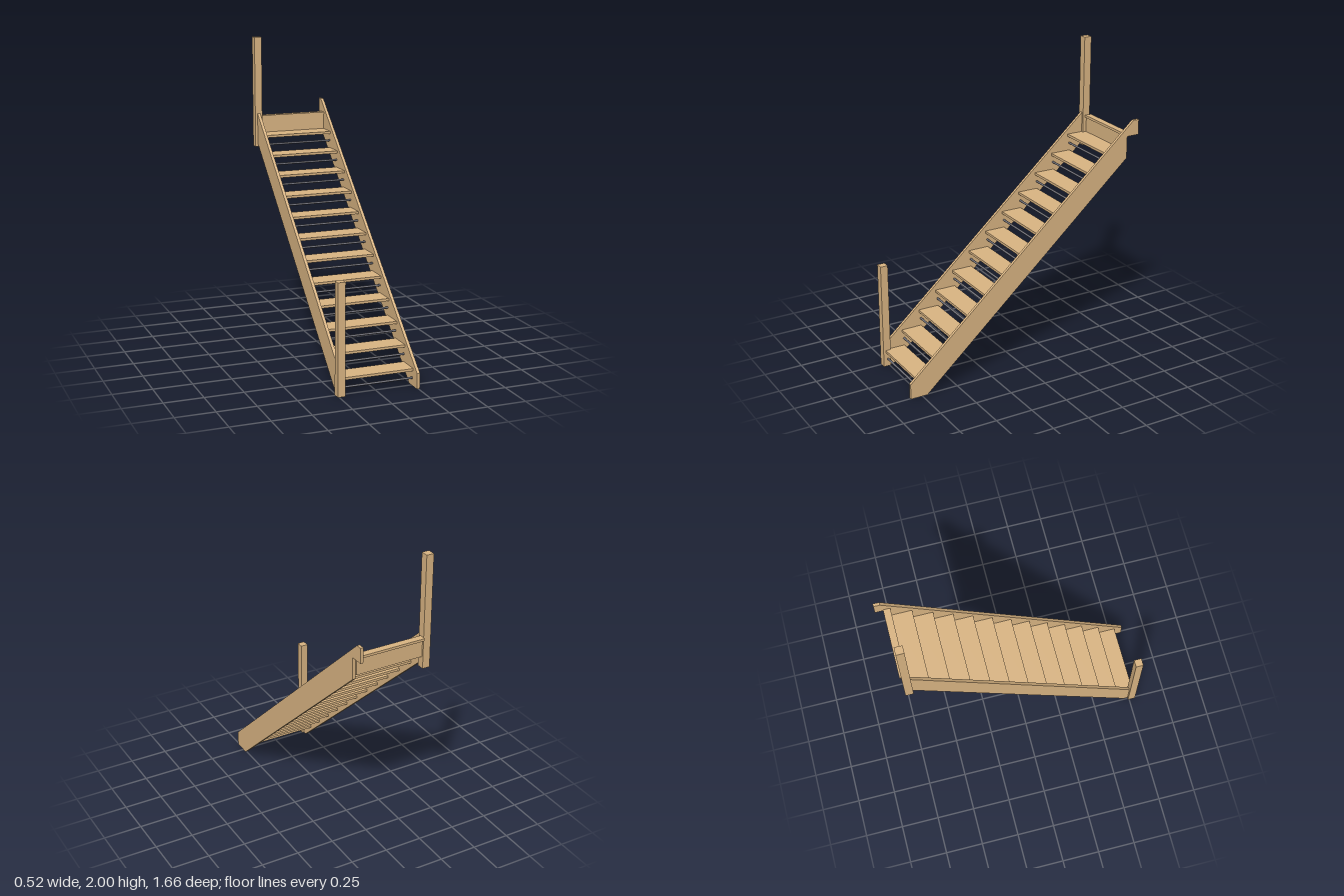
import * as THREE from 'three';

const wood = new THREE.MeshStandardMaterial({ name: 'oak wood', color: 0xdab583 });
const metal = new THREE.MeshStandardMaterial({ name: 'grey metal', color: 0x707078 });

const RISE = 0.1129, GOING = 0.1254, STEPS = 12;
const INNER_LEFT = -0.225, INNER_RIGHT = 0.239;

export function createModel() {
  const model = new THREE.Group();
  model.name = 'openStaircase';

  const add = (name, geometry, material) => {
    const mesh = new THREE.Mesh(geometry, material);
    mesh.name = name;
    model.add(mesh);
    return mesh;
  };

  // Box given by its limits on each axis
  const box = (name, x0, x1, y0, y1, z0, z1) =>
    add(name, new THREE.BoxGeometry(x1 - x0, y1 - y0, z1 - z0), wood)
      .position.set((x0 + x1) / 2, (y0 + y1) / 2, (z0 + z1) / 2);

  // Sloping side board from a side profile of [z, y] points
  const stringer = (name, x0, x1, profile) => {
    const shape = new THREE.Shape(profile.map(([z, y]) => new THREE.Vector2(-z, y)));
    const geometry = new THREE.ExtrudeGeometry(shape, { depth: x1 - x0, bevelEnabled: false });
    geometry.rotateY(Math.PI / 2).translate(x0, 0, 0);
    add(name, geometry, wood);
  };

  // Wall-side board runs full length, with a hook at the upper floor
  stringer('wallStringer', INNER_RIGHT, 0.258, [
    [0.83, 0], [0.83, 0.1], [-0.79, 1.555], [-0.83, 1.555],
    [-0.83, 1.455], [-0.745, 1.455], [-0.745, 1.31], [0.715, 0],
  ]);

  // Open-side board runs between the two posts
  stringer('openStringer', -0.244, INNER_LEFT, [
    [0.745, 0], [0.745, 0.176], [-0.717, 1.489], [-0.717, 1.285], [0.715, 0],
  ]);

  // Newel posts
  box('lowerPost', -0.26, -0.211, 0, 0.708, 0.741, 0.791);
  box('upperPost', -0.26, -0.211, 1.263, 2, -0.767, -0.716);

  // Treads, each with a safety rod below its front edge
  const rodLength = INNER_RIGHT - INNER_LEFT;
  for (let i = 0; i < STEPS; i++) {
    const top = RISE * (i + 1), front = 0.774 - GOING * i;
    box('tread', INNER_LEFT, INNER_RIGHT, top - 0.016, top, front - 0.14, front);
    const rod = add('safetyRod', new THREE.CylinderGeometry(0.0068, 0.0068, rodLength, 16), metal);
    rod.rotation.z = Math.PI / 2;
    rod.position.set((INNER_LEFT + INNER_RIGHT) / 2, top - 0.063, front - 0.014);
  }

  // Closing riser and landing nosing at the upper floor
  box('topRiser', -0.225, INNER_RIGHT, 1.339, 1.454, -0.755, -0.742);
  box('landingNosing', -0.211, INNER_RIGHT, 1.454, 1.47, -0.778, -0.733);

  return model;
}
